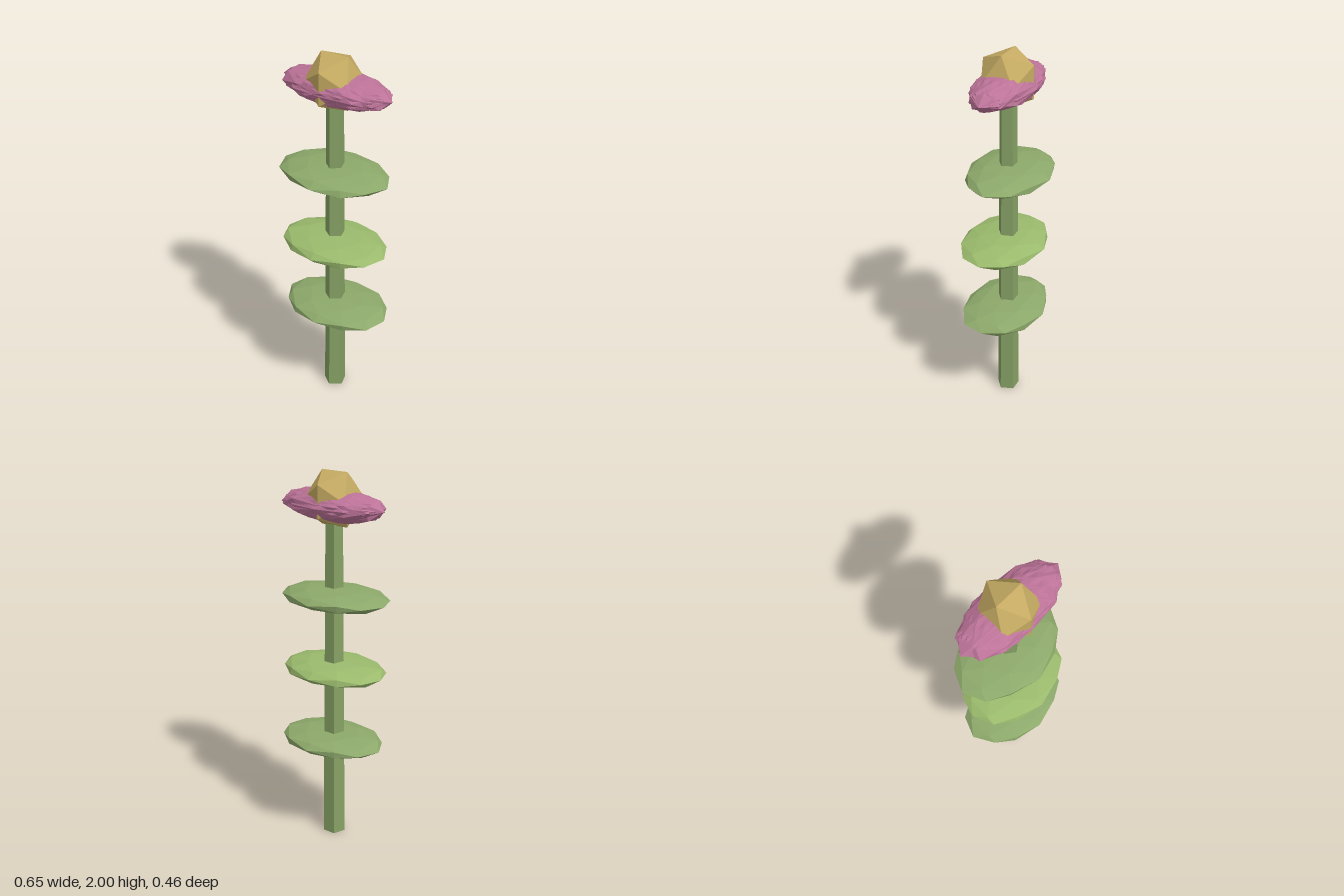
import * as THREE from 'three';

// Repeatable value in -1..1 for a point, so shared corners move together
function noise(x, y, z, seed) {
  const r = (v) => Math.round(v * 1000) / 1000;
  const s = Math.sin(r(x) * 12.99 + r(y) * 78.23 + r(z) * 37.72 + seed * 9.17) * 43758.5;
  return (s - Math.floor(s)) * 2 - 1;
}

// Faceted ball with uneven corners, spun about x and then scaled to half-sizes
function roughBall(detail, jitter, seed, [sx, sy, sz], spin = 0) {
  const geo = new THREE.IcosahedronGeometry(1, detail);
  const p = geo.attributes.position;
  for (let i = 0; i < p.count; i++) {
    const x = p.getX(i), y = p.getY(i), z = p.getZ(i);
    const k = 1 + jitter * noise(x, y, z, seed);
    p.setXYZ(i, x * k, y * k, z * k);
  }
  geo.rotateX(spin);
  geo.scale(sx, sy, sz);
  geo.computeVertexNormals();
  return geo;
}

function part(name, geo, color, x, y, z) {
  const mesh = new THREE.Mesh(geo, new THREE.MeshStandardMaterial({ color, flatShading: true }));
  mesh.name = name;
  mesh.position.set(x, y, z);
  return mesh;
}

export function createModel() {
  const model = new THREE.Group();
  model.name = 'flower';
  const cx = -0.009; // stem axis

  // Five-sided tapering stem
  model.add(part('stem', new THREE.CylinderGeometry(0.046, 0.061, 1.8, 5), 0x86a064, cx, 0.9, 0.003));

  // Three flat leaf pads threaded on the stem
  const leaves = [
    { x: 0.008, z: 0.006, color: 0x8ca86a },
    { x: -0.003, z: 0.016, color: 0x9aba6c },
    { x: -0.018, z: -0.008, color: 0x8ca86a },
  ];
  leaves.forEach(({ x, z, color }, i) => {
    model.add(part('leaf' + (i + 1), roughBall(1, 0.035, i + 1, [0.305, 0.055, 0.218]), color, x, 0.553 + i * 0.402, z));
  });

  // Ragged blossom of overlapping long petals
  const petals = new THREE.Group();
  petals.name = 'petals';
  const count = 8;
  for (let i = 0; i < count; i++) {
    const geo = roughBall(1, 0.07, 20 + i, [0.302, 0.081, 0.142], (i / count) * Math.PI * 2);
    petals.add(part('petal' + (i + 1), geo, 0xbc7398, 0, 1.83, 0));
  }
  model.add(petals);

  // Flower centre
  model.add(part('flowerCentre', roughBall(0, 0, 0, [0.15, 0.162, 0.16], 0), 0xc4aa62, -0.011, 1.862, 0.003));

  return model;
}
